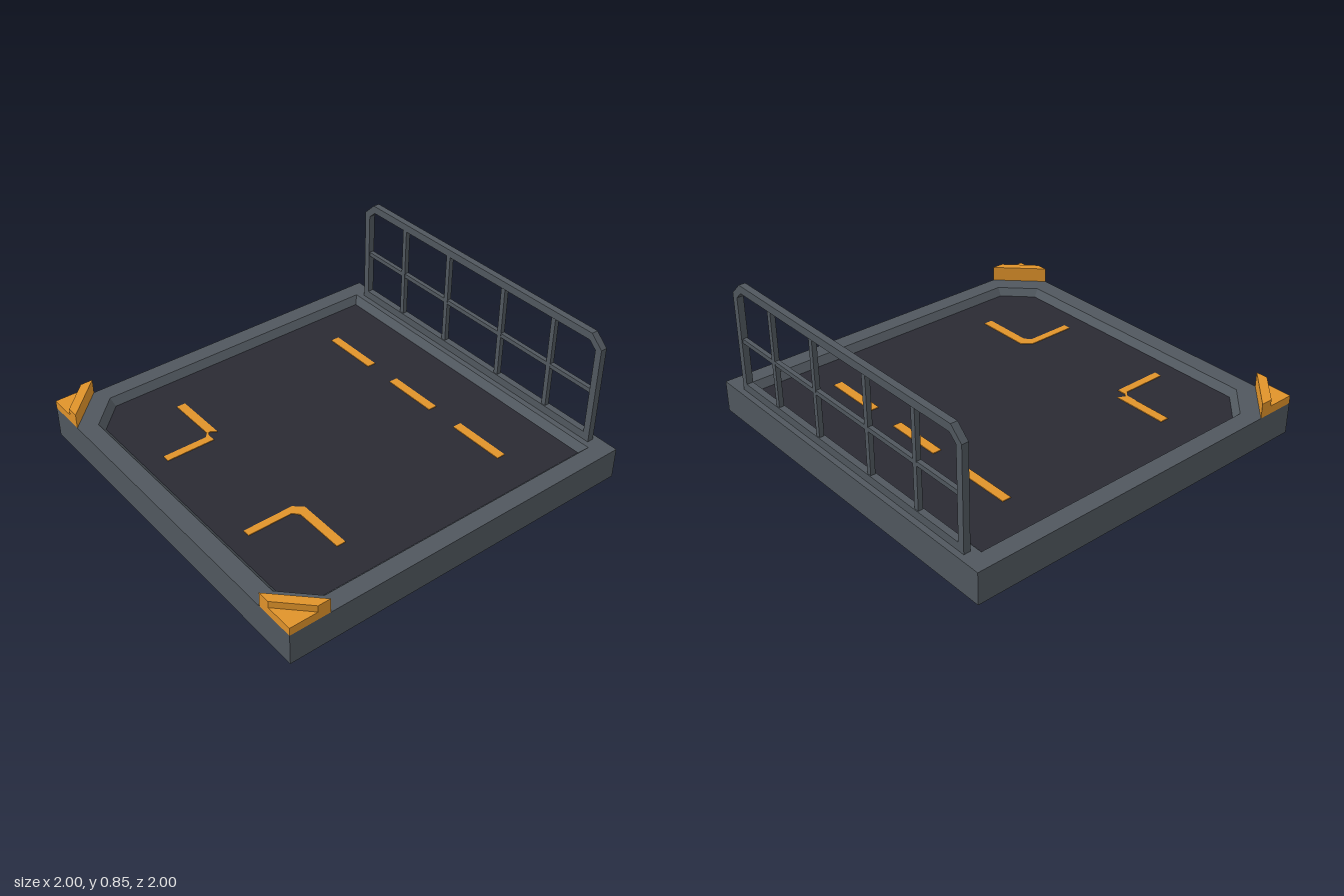
import * as THREE from 'three';

const mat = (name, color) => {
  const m = new THREE.MeshStandardMaterial({ color });
  m.name = name;
  return m;
};

// Plan loops are lists of [x, -z], counter-clockwise seen from above.
const toShape = (pts) => new THREE.Shape(pts.map(([x, y]) => new THREE.Vector2(x, y)));

// Rectangle centred on the origin, with separate corner cuts on the -x and +x sides
function cutRect(x, z, cutA, cutB) {
  const right = cutB ? [[x - cutB, -z], [x, -z + cutB], [x, z - cutB], [x - cutB, z]] : [[x, -z], [x, z]];
  const left = cutA ? [[-x + cutA, z], [-x, z - cutA], [-x, -z + cutA], [-x + cutA, -z]] : [[-x, z], [-x, -z]];
  return [...right, ...left];
}

// Flat face lying at height y, looking up (dir 1) or down (dir -1)
function flatFace(pts, y, dir, hole) {
  const shape = toShape(pts);
  if (hole) shape.holes.push(toShape(hole));
  return new THREE.ShapeGeometry(shape).rotateX(-dir * Math.PI / 2).translate(0, y, 0);
}

// Band of quads between two loops of equal length
function band(a, ya, b, yb) {
  const pos = [];
  a.forEach((p, i) => {
    const j = (i + 1) % a.length;
    const a0 = [p[0], ya, -p[1]], a1 = [a[j][0], ya, -a[j][1]];
    const b0 = [b[i][0], yb, -b[i][1]], b1 = [b[j][0], yb, -b[j][1]];
    pos.push(...a0, ...a1, ...b1, ...a0, ...b1, ...b0);
  });
  const g = new THREE.BufferGeometry();
  g.setAttribute('position', new THREE.Float32BufferAttribute(pos, 3));
  g.computeVertexNormals();
  return g;
}

// Plan outline of [x, z] points raised from y0 to y1
function slab(pts, y0, y1) {
  const shape = toShape(pts.map(([x, z]) => [x, -z]));
  const g = new THREE.ExtrudeGeometry(shape, { depth: y1 - y0, bevelEnabled: false });
  return g.rotateX(-Math.PI / 2).translate(0, y0, 0);
}

// Side outline of counter-clockwise [z, y] points, extruded across x
function sideSlab(pts, x0, x1, hole) {
  const shape = toShape(pts);
  if (hole) shape.holes.push(toShape(hole));
  const g = new THREE.ExtrudeGeometry(shape, { depth: x1 - x0, bevelEnabled: false });
  return g.rotateY(-Math.PI / 2).translate(x1, 0, 0);
}

export function createModel() {
  const steel = mat('steelGrey', 0x50575e);
  const dark = mat('deckDark', 0x2a2a33);
  const orange = mat('safetyOrange', 0xe0932a);

  const model = new THREE.Group();
  model.name = 'platform';
  const add = (name, geometry, material, parent = model) => {
    const mesh = new THREE.Mesh(geometry, material);
    mesh.name = name;
    parent.add(mesh);
    return mesh;
  };
  const group = (name) => {
    const g = new THREE.Group();
    g.name = name;
    model.add(g);
    return g;
  };

  // Frame with a shallow bevelled recess above and below
  const BOTTOM = 0.066, TOP = 0.236, FLOOR = 0.198, UNDER = 0.09;
  const outer = cutRect(1, 1, 0, 0);
  const topRim = cutRect(0.902, 0.905, 0.16, 0);
  const topFloor = cutRect(0.87, 0.872, 0.14, 0);
  const lowRim = cutRect(0.7, 0.8, 0.14, 0.14);
  const lowPanel = cutRect(0.68, 0.78, 0.13, 0.13);
  const frame = group('frame');
  add('frameSides', band(outer, BOTTOM, outer, TOP), steel, frame);
  add('frameTop', flatFace(outer, TOP, 1, topRim), steel, frame);
  add('topBevel', band(topRim, TOP, topFloor, FLOOR), steel, frame);
  add('frameUnderside', flatFace(outer, BOTTOM, -1, lowRim), steel, frame);
  add('undersideBevel', band(lowPanel, UNDER, lowRim, BOTTOM), steel, frame);
  add('deck', flatFace(topFloor, FLOOR, 1), dark);
  add('deckUnderside', flatFace(lowPanel, UNDER, -1), dark);

  // Painted deck marks
  const marks = group('deckMarks');
  const mark = (name, pts) => add(name, slab(pts, FLOOR, FLOOR + 0.004), orange, marks);
  for (const [z0, z1] of [[-0.66, -0.34], [-0.16, 0.155], [0.34, 0.66]]) {
    mark('dashMark', [[0.525, z0], [0.573, z0], [0.573, z1], [0.525, z1]]);
  }
  mark('frontAngleMark', [[-0.76, 0.323], [-0.485, 0.323], [-0.438, 0.363], [-0.438, 0.668],
    [-0.487, 0.668], [-0.487, 0.395], [-0.515, 0.363], [-0.76, 0.363]]);
  mark('backAngleMark', [[-0.76, -0.363], [-0.51, -0.363], [-0.487, -0.39], [-0.487, -0.668],
    [-0.438, -0.668], [-0.438, -0.368], [-0.475, -0.39], [-0.49, -0.37], [-0.49, -0.322], [-0.76, -0.322]]);

  // Corner guards: a tall diagonal wall with a lower corner step behind it
  for (const s of [1, -1]) {
    const guard = group(s > 0 ? 'frontCornerGuard' : 'backCornerGuard');
    const orient = (pts) => pts.map(([x, z]) => [x, z * s]);
    add('guardWall', slab(orient([[-0.85, 1], [-0.783, 1], [-1, 0.785], [-1, 0.85]]), TOP, 0.317), orange, guard);
    add('guardStep', slab(orient([[-1, 1], [-0.85, 1], [-1, 0.85]]), TOP, 0.28), orange, guard);
  }

  // Skids with sloped ends
  for (const s of [1, -1]) {
    add(s > 0 ? 'leftSkid' : 'rightSkid', sideSlab(
      [[-0.82, 0], [0.82, 0], [0.91, BOTTOM], [-0.91, BOTTOM]], s * 0.846 - 0.063, s * 0.846 + 0.063), orange);
  }

  // Guard rail: chamfered outer hoop with thin bars
  const rail = group('guardRail');
  const RAIL_X = 0.951;
  add('railHoop', sideSlab(
    [[-0.873, TOP], [0.873, TOP], [0.873, 0.78], [0.805, 0.845], [-0.805, 0.845], [-0.873, 0.78]],
    RAIL_X - 0.018, RAIL_X + 0.018,
    [[-0.837, 0.28], [0.837, 0.28], [0.837, 0.765], [0.795, 0.803], [-0.795, 0.803], [-0.837, 0.765]]), steel, rail);
  for (const z of [-0.547, -0.2, 0.208, 0.556]) {
    add('railPost', new THREE.BoxGeometry(0.026, 0.523, 0.026), steel, rail).position.set(RAIL_X, 0.5415, z);
  }
  add('midRail', new THREE.BoxGeometry(0.024, 0.024, 1.674), steel, rail).position.set(RAIL_X, 0.525, 0);

  return model;
}
